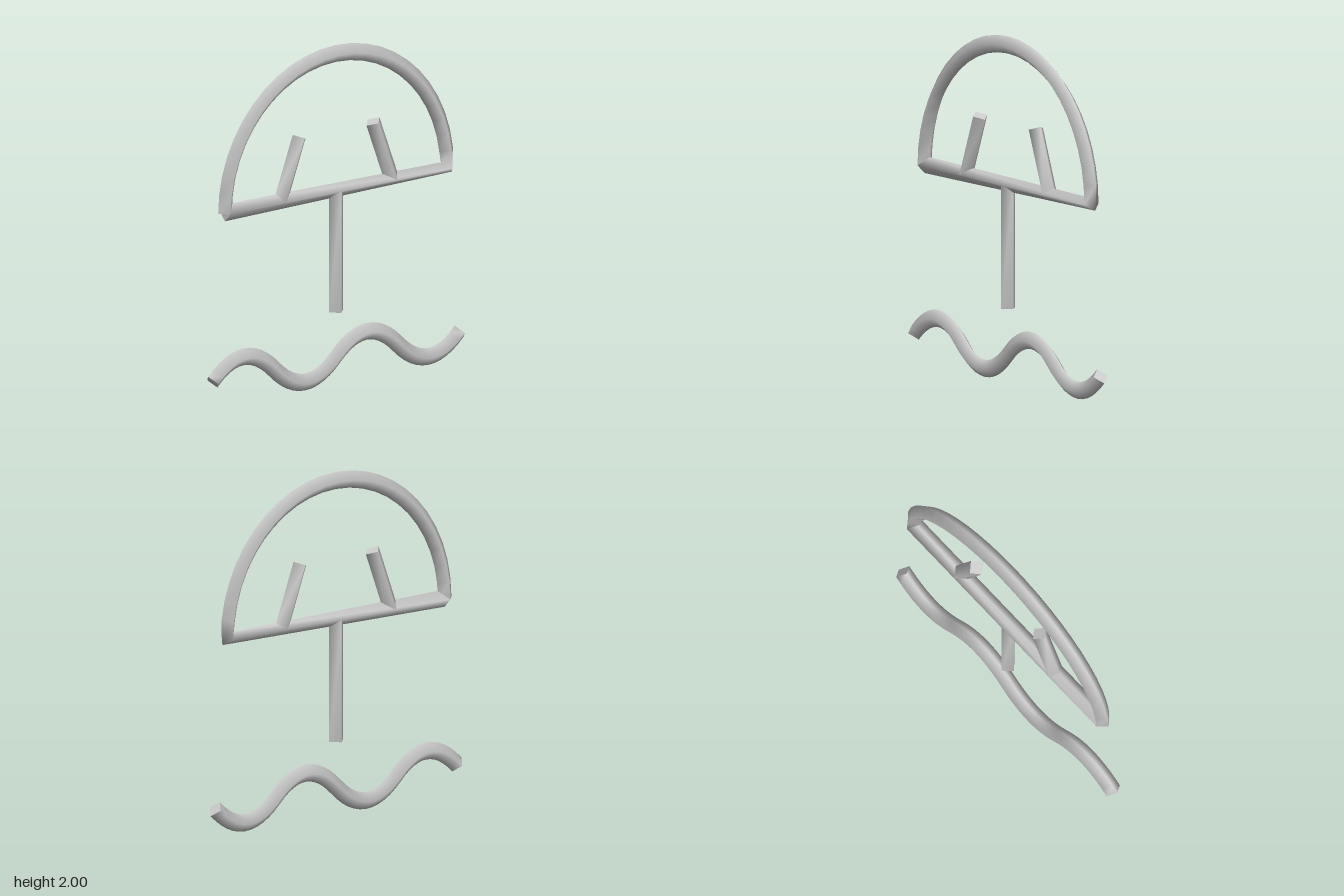
import * as THREE from 'three';

const U = 0.0894;      // drawing unit
const R = 0.05;        // tube radius
const Y = 1.145;       // height of the crossbar

const grey = new THREE.MeshStandardMaterial({ color: 0xcccccc });
grey.name = 'grey';

// Four-sided smooth tube along a flat path, with flat end caps
function tube(name, path) {
  const pos = [], index = [], n = path.length;
  const ring = path.map((p, i) => {
    const t = new THREE.Vector2();
    if (i > 0) t.add(p.clone().sub(path[i - 1]).normalize());
    if (i < n - 1) t.add(path[i + 1].clone().sub(p).normalize());
    t.normalize().multiplyScalar(R);
    return [[p.x - t.y, p.y + t.x, 0], [p.x, p.y, R], [p.x + t.y, p.y - t.x, 0], [p.x, p.y, -R]];
  });
  ring.forEach((r) => r.forEach((v) => pos.push(...v)));
  for (let i = 0; i < n - 1; i++) {
    for (let k = 0; k < 4; k++) {
      const a = i * 4 + k, b = i * 4 + (k + 1) % 4;
      index.push(a, b, b + 4, a, b + 4, a + 4);
    }
  }
  // caps use their own vertices so their edges stay sharp
  const s = n * 4, e = s + 4;
  [ring[0], ring[n - 1]].forEach((r) => r.forEach((v) => pos.push(...v)));
  index.push(s, s + 2, s + 1, s, s + 3, s + 2, e, e + 1, e + 2, e, e + 2, e + 3);

  const geo = new THREE.BufferGeometry();
  geo.setAttribute('position', new THREE.Float32BufferAttribute(pos, 3));
  // orient faces outward
  const v = (i) => new THREE.Vector3().fromArray(pos, i * 3);
  const normal = v(index[1]).sub(v(index[0])).cross(v(index[2]).sub(v(index[0])));
  const mid = v(index[0]).add(v(index[1])).multiplyScalar(0.5);
  mid.sub(new THREE.Vector3(path[0].x, path[0].y, 0));
  if (normal.dot(mid) < 0) {
    for (let i = 0; i < index.length; i += 3) [index[i + 1], index[i + 2]] = [index[i + 2], index[i + 1]];
  }
  geo.setIndex(index);
  geo.computeVertexNormals();
  const mesh = new THREE.Mesh(geo, grey);
  mesh.name = name;
  return mesh;
}

const pt = (x, y) => new THREE.Vector2(x, y);

export function createModel() {
  const group = new THREE.Group();
  group.name = 'outlineSign';

  // Half-round arch that turns the corner into the crossbar
  const dome = [];
  for (let i = 0; i <= 24; i++) {
    const a = Math.PI * (1 - i / 24);
    dome.push(pt(9 * U * Math.cos(a), Y + 9 * U * Math.sin(a)));
  }
  dome.push(pt(-9 * U, Y));
  group.add(tube('archAndCrossbar', dome));

  // Slanted bars inside the arch
  for (const side of [-1, 1]) {
    group.add(tube(side < 0 ? 'rightSlantedBar' : 'leftSlantedBar',
      [pt(side * 4.5 * U, Y), pt(side * 3 * U, Y + 4 * U)]));
  }

  // Post below the crossbar
  group.add(tube('post', [pt(0, Y), pt(0, Y - 8 * U)]));

  // Wave made of four parabolic swings
  const wave = [], base = Y - 11 * U;
  for (let s = 0; s < 4; s++) {
    for (let i = s ? 1 : 0; i <= 12; i++) {
      const t = i / 12, swing = s % 2 ? -1 : 1;
      wave.push(pt((-10 + 5 * (s + t)) * U, base + swing * 5 * U * t * (1 - t)));
    }
  }
  group.add(tube('wave', wave));

  return group;
}
